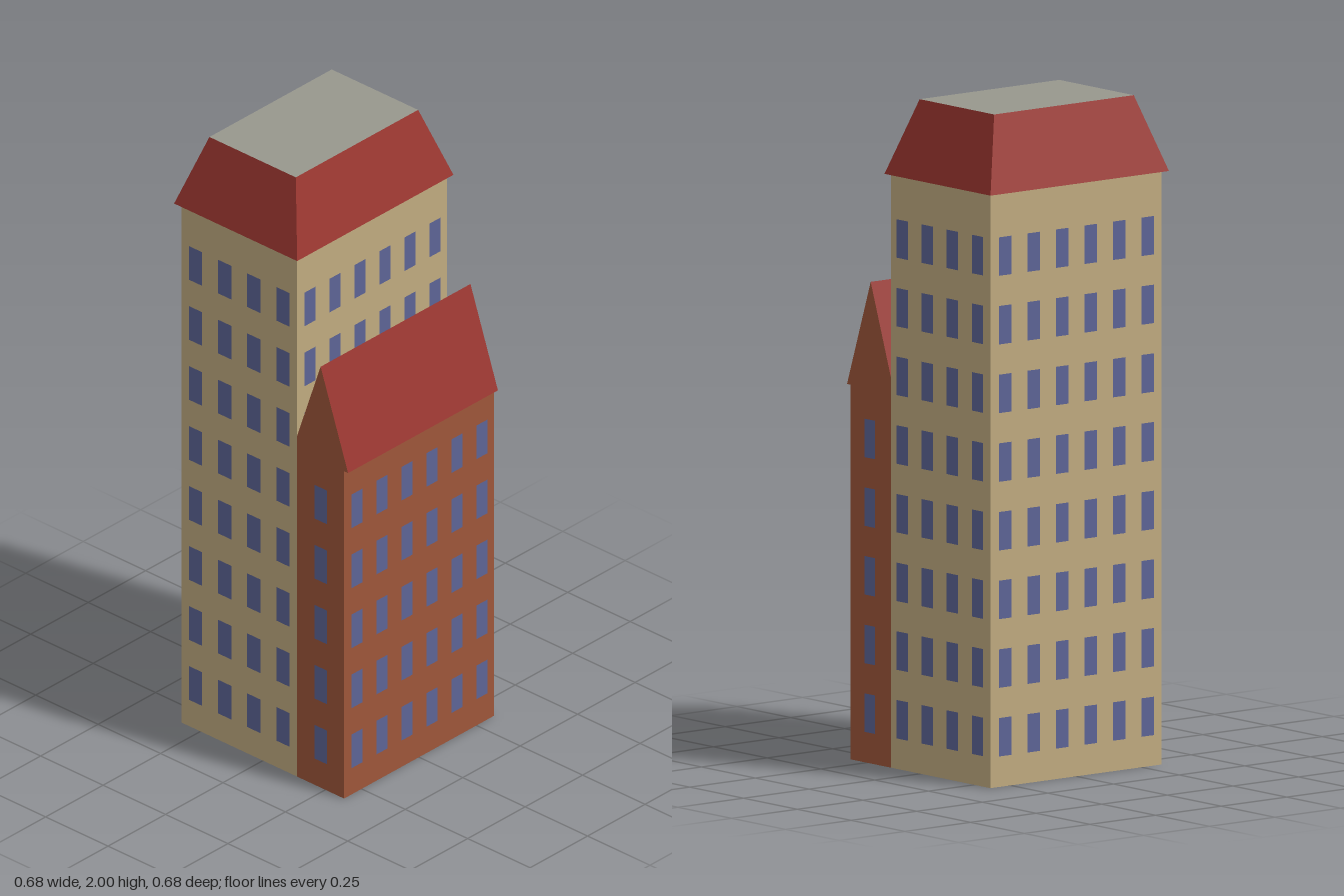
import * as THREE from 'three';

const mat = (name, color, side = THREE.FrontSide) => {
  const m = new THREE.MeshStandardMaterial({ color, side });
  m.name = name;
  return m;
};

const HALF_W = 0.326;   // half width of both blocks
const BACK = -0.326, JOIN = 0.137, FRONT = 0.325;
const TOWER_TOP = 1.775, EAVE = 1.12, RIDGE = 1.44;

// Hollow rectangular walls, open at the bottom
function wallTube(z0, z1, height, t = 0.02) {
  const d = (z1 - z0) / 2;
  const rect = (Type, x, y) => new Type([
    new THREE.Vector2(-x, -y), new THREE.Vector2(x, -y),
    new THREE.Vector2(x, y), new THREE.Vector2(-x, y)]);
  const shape = rect(THREE.Shape, HALF_W, d);
  shape.holes.push(rect(THREE.Path, HALF_W - t, d - t));
  return new THREE.ExtrudeGeometry(shape, { depth: height, bevelEnabled: false })
    .rotateX(-Math.PI / 2).translate(0, 0, (z0 + z1) / 2);
}

export function createModel() {
  const cream = mat('cream wall', 0xc0ab80);
  const brick = mat('brick wall', 0x9e563a);
  const red = mat('red roof', 0x99352f);
  const grey = mat('grey flat roof', 0x97978d);
  const blue = mat('blue window', 0x5d6496);

  const model = new THREE.Group();
  model.name = 'building';
  const add = (parent, name, geometry, material) => {
    const mesh = new THREE.Mesh(geometry, material);
    mesh.name = name;
    parent.add(mesh);
    return mesh;
  };
  const group = (name) => {
    const g = new THREE.Group();
    g.name = name;
    model.add(g);
    return g;
  };

  // Window grid on one wall: angle turns the pane, place maps offset to x and z
  const windows = (parent, name, offsets, rows, width, angle, place) => {
    const g = new THREE.Group();
    g.name = name;
    parent.add(g);
    const pane = new THREE.PlaneGeometry(width, 0.115);
    for (const row of rows) for (const o of offsets) {
      const w = add(g, 'window', pane, blue);
      const [x, z] = place(o);
      w.position.set(x, 0.149 + 0.2053 * row, z);
      w.rotation.y = angle;
    }
  };
  const range = (a, b) => Array.from({ length: b - a }, (_, i) => a + i);
  const wide = range(0, 6).map((i) => (i - 2.5) * 0.1085);
  const deep = range(0, 4).map((i) => -0.093 + (i - 1.5) * 0.1165);
  const out = 0.002;

  // Tall rear tower
  const tower = group('tower');
  add(tower, 'towerWalls', wallTube(BACK, JOIN, TOWER_TOP), cream);
  windows(tower, 'towerFrontWindows', wide, range(5, 8), 0.048, 0, (o) => [o, JOIN + out]);
  windows(tower, 'towerBackWindows', wide, range(0, 8), 0.048, Math.PI, (o) => [o, BACK - out]);

  // Tapered roof with a flat grey top
  const roof = new THREE.BoxGeometry(2, 1, 2);
  const p = roof.attributes.position;
  for (let i = 0; i < p.count; i++) {
    const top = p.getY(i) > 0;
    p.setXYZ(i, p.getX(i) * (top ? 0.266 : 0.34), top ? 2 : TOWER_TOP,
      -0.0965 + p.getZ(i) * (top ? 0.173 : 0.2465));
  }
  roof.computeVertexNormals();
  add(tower, 'towerRoof', roof, [red, red, grey, red, red, red]);

  // Lower front wing
  const wing = group('frontWing');
  add(wing, 'wingWalls', wallTube(JOIN, FRONT, EAVE), brick);
  windows(wing, 'wingFrontWindows', wide, range(0, 5), 0.048, 0, (o) => [o, FRONT + out]);

  // Gabled roof: brick ends, red slopes
  const gable = new THREE.Shape([
    new THREE.Vector2(0.121, EAVE), new THREE.Vector2(0.341, EAVE), new THREE.Vector2(0.231, RIDGE)]);
  const gableGeo = new THREE.ExtrudeGeometry(gable, { depth: HALF_W * 2, bevelEnabled: false })
    .rotateY(-Math.PI / 2).translate(HALF_W, 0, 0);
  add(wing, 'wingRoof', gableGeo, [brick, red]);

  // Side windows, mirrored left and right
  for (const s of [1, -1]) {
    const side = s > 0 ? 'Left' : 'Right';
    const place = (o) => [s * (HALF_W + out), o];
    windows(tower, `tower${side}Windows`, deep, range(0, 8), 0.053, s * Math.PI / 2, place);
    windows(wing, `wing${side}Windows`, [0.233], range(0, 5), 0.05, s * Math.PI / 2, place);
  }
  return model;
}
